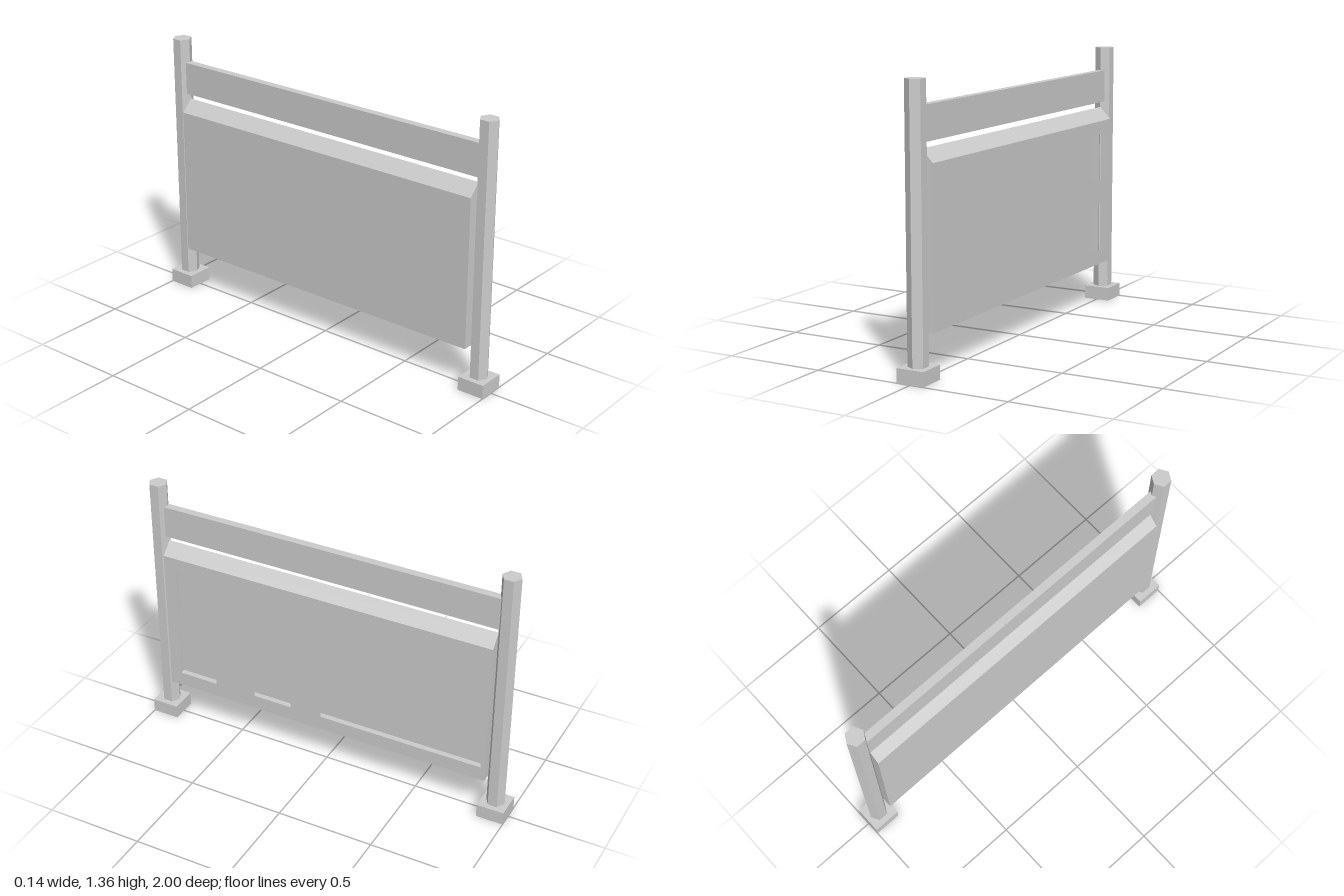
import * as THREE from 'three';

const solid = new THREE.MeshStandardMaterial({ color: 0xcccccc, flatShading: true });
const sheet = new THREE.MeshStandardMaterial({ color: 0xcccccc, flatShading: true, side: THREE.DoubleSide });

const HALF = 0.885;   // half length of the panel
const T = 0.059;      // half thickness of the panel
const BOTTOM = 0.22, EAVE = 0.985, PEAK = 1.045;

function add(parent, name, geometry, material, x = 0, y = 0, z = 0) {
  const mesh = new THREE.Mesh(geometry, material);
  mesh.name = name;
  mesh.position.set(x, y, z);
  parent.add(mesh);
  return mesh;
}

function rectangle(Type, x0, y0, x1, y1) {
  const r = new Type();
  r.moveTo(x0, y0);
  r.lineTo(x1, y0);
  r.lineTo(x1, y1);
  r.lineTo(x0, y1);
  r.closePath();
  return r;
}

// Sweeps an open profile (x, y) along z as flat strips
function strips(profile, half) {
  const pos = [];
  for (let i = 0; i < profile.length - 1; i++) {
    const [a, b] = profile[i], [c, d] = profile[i + 1];
    pos.push(a, b, half, a, b, -half, c, d, -half);
    pos.push(a, b, half, c, d, -half, c, d, half);
  }
  const g = new THREE.BufferGeometry();
  g.setAttribute('position', new THREE.Float32BufferAttribute(pos, 3));
  g.computeVertexNormals();
  return g;
}

// Box shell without its underside
function openBox(w, h, d) {
  const g = new THREE.BoxGeometry(w, h, d);
  const index = Array.from(g.index.array);
  index.splice(18, 6);
  g.setIndex(index);
  g.clearGroups();
  return g;
}

export function createModel() {
  const model = new THREE.Group();
  model.name = 'fencePanel';

  // Hexagonal posts on square feet, open underneath
  for (const side of [1, -1]) {
    const post = new THREE.Group();
    post.name = side > 0 ? 'frontPost' : 'backPost';
    add(post, 'postShaft', new THREE.CylinderGeometry(0.048, 0.048, 1.29, 6), solid, 0, 0.715, 0);
    add(post, 'postFoot', openBox(0.14, 0.07, 0.14), sheet, 0, 0.035, 0);
    post.position.z = side * 0.93;
    model.add(post);
  }

  // Upper rail
  add(model, 'topRail', new THREE.BoxGeometry(0.04, 0.165, 1.785), solid, 0, 1.1575, 0);

  // Hollow panel: ridge, back and underside
  const panel = new THREE.Group();
  panel.name = 'panel';
  model.add(panel);
  const profile = [[T, EAVE], [0, PEAK], [-T, EAVE], [-T, BOTTOM], [T, BOTTOM]];
  add(panel, 'panelShell', strips(profile, HALF), sheet);

  // Gabled ends
  const gable = new THREE.Shape(profile.map(([x, y]) => new THREE.Vector2(x, y)));
  for (const side of [1, -1]) {
    const end = add(panel, 'panelEnd', new THREE.ShapeGeometry(gable), sheet, 0, 0, side * HALF);
    if (side < 0) end.rotation.y = Math.PI;
  }

  // Face sheet with two rows of window openings
  const face = rectangle(THREE.Shape, -HALF, BOTTOM, HALF, EAVE);
  for (const [y0, y1] of [[0.295, 0.54], [0.67, 0.915]]) {
    for (const [u0, u1] of [[-0.82, -0.61], [-0.385, -0.175], [-0.005, 0.862]]) {
      face.holes.push(rectangle(THREE.Path, u0, y0, u1, y1));
    }
  }
  add(panel, 'panelFace', new THREE.ShapeGeometry(face), sheet, T, 0, 0).rotation.y = Math.PI / 2;

  return model;
}
